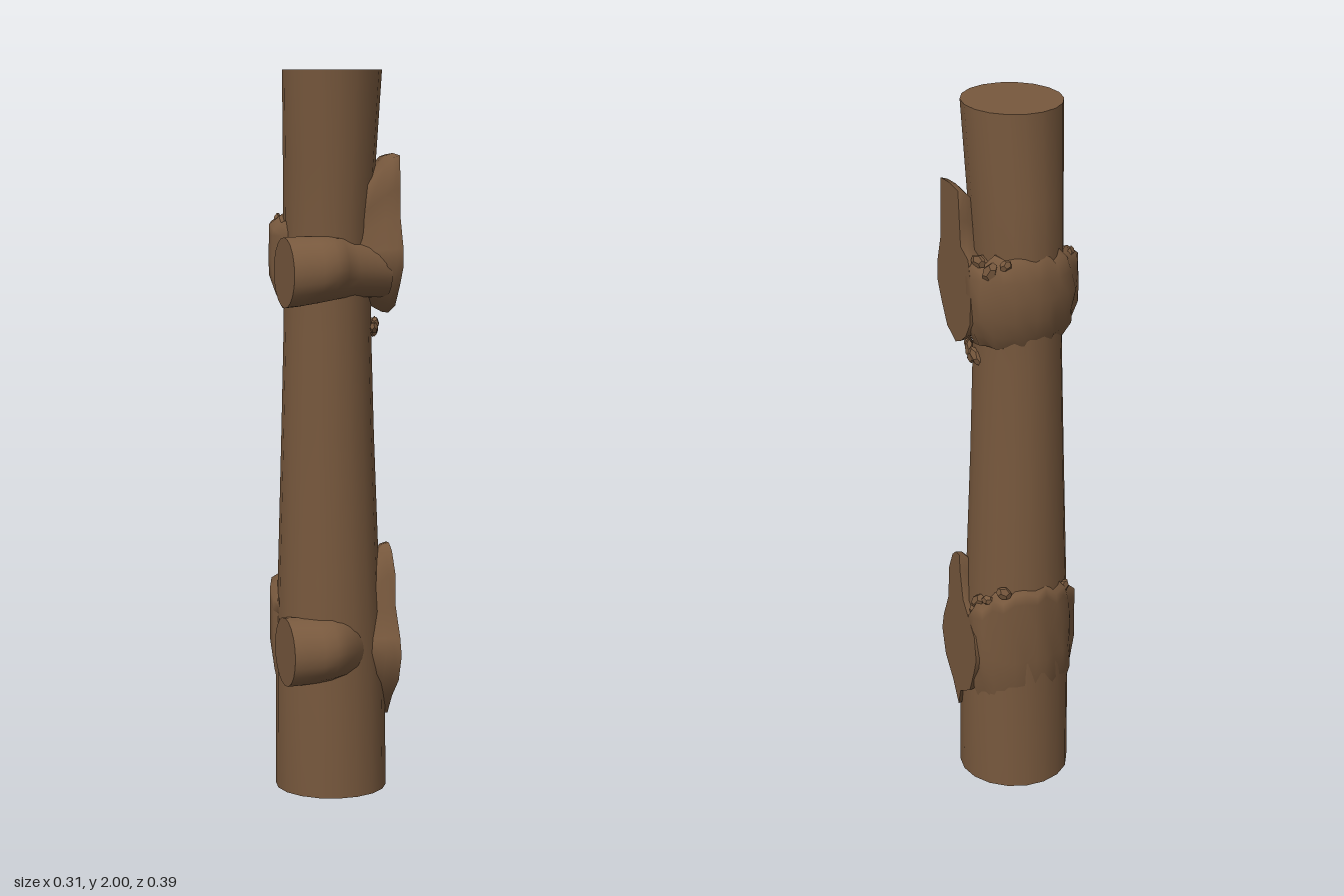
import * as THREE from 'three';

const LIMIT = 0.156; // branches are sawn off flat at this x
const clampX = (x) => Math.max(-LIMIT, Math.min(LIMIT, x));

// Skin a stack of equal-length rings; smooth sides, flat fan caps.
function loft(rings, centres) {
  const n = rings[0].length, pos = [], idx = [];
  rings.forEach((r) => r.forEach((p) => pos.push(...p)));
  for (let j = 0; j < rings.length - 1; j++) {
    for (let i = 0; i < n; i++) {
      const a = j * n + i, b = j * n + (i + 1) % n;
      idx.push(a, b, b + n, a, b + n, a + n);
    }
  }
  [0, rings.length - 1].forEach((k, end) => {
    const ring = rings[k], base = pos.length / 3;
    const mid = centres ? centres[end] : [0, 1, 2].map((c) => ring.reduce((s, p) => s + p[c], 0) / n);
    pos.push(...mid);
    ring.forEach((p) => pos.push(...p));
    for (let i = 0; i < n; i++) {
      const a = base + 1 + i, b = base + 1 + (i + 1) % n;
      if (end) idx.push(base, a, b); else idx.push(base, b, a);
    }
  });
  // turn the faces outward if the enclosed volume is negative
  const v = (i) => new THREE.Vector3().fromArray(pos, i * 3);
  let volume = 0;
  for (let i = 0; i < idx.length; i += 3) volume += v(idx[i]).dot(v(idx[i + 1]).cross(v(idx[i + 2])));
  if (volume < 0) idx.reverse();
  const g = new THREE.BufferGeometry();
  g.setAttribute('position', new THREE.Float32BufferAttribute(pos, 3));
  g.setIndex(idx);
  g.computeVertexNormals();
  return g;
}

const circle = (n, f) => Array.from({ length: n }, (_, i) => f(i / n * Math.PI * 2, i));

export function createModel() {
  const group = new THREE.Group();
  const bark = new THREE.MeshStandardMaterial({ color: 0x77583d });
  bark.name = 'brown bark';
  const add = (name, geometry) => {
    const m = new THREE.Mesh(geometry, bark);
    m.name = name;
    group.add(m);
    return m;
  };

  // Trunk: y, left x, right x, back z, front z
  const sections = [
    [0, -0.156, 0.154, -0.175, 0.145], [0.35, -0.155, 0.15, -0.175, 0.14],
    [0.6, -0.146, 0.136, -0.174, 0.126], [1, -0.135, 0.12, -0.164, 0.116],
    [1.3, -0.128, 0.111, -0.156, 0.11], [1.45, -0.126, 0.111, -0.162, 0.11],
    [1.6, -0.127, 0.115, -0.167, 0.115], [1.75, -0.13, 0.121, -0.16, 0.125],
    [2, -0.137, 0.133, -0.146, 0.144],
  ];
  add('trunk', loft(sections.map(([y, l, r, b, f]) => circle(18, (a) => [
    (l + r) / 2 + Math.cos(a) * (r - l) / 2, y, (b + f) / 2 + Math.sin(a) * (f - b) / 2,
  ]))));

  // Front branches sweep across the trunk and end in a flat cut on the right.
  // x, z centre, z radius, y radius, y offset
  const sweep = [
    [-LIMIT, 0.055, 0.098, 0.096, 0], [-0.12, 0.065, 0.1, 0.095, 0.003],
    [-0.08, 0.088, 0.1, 0.091, 0.008], [-0.045, 0.098, 0.098, 0.088, 0.012],
    [-0.01, 0.087, 0.094, 0.084, 0.013], [0.03, 0.065, 0.083, 0.078, 0.008],
  ];
  const branch = (name, y, tail) => add(name, loft([...sweep, tail].map(([x, z, rz, ry, dy]) =>
    circle(20, (a) => [x, y + dy + Math.sin(a) * ry, z + Math.cos(a) * rz]))));
  branch('upperFrontBranch', 1.455, [0.13, 0.05, 0.08, 0.075, 0]);
  branch('lowerFrontBranch', 0.405, [0.08, 0.03, 0.06, 0.06, 0]);

  // Left side cuts: [z, y] outline flaring out of the trunk
  const cut = (name, [cz, cy], outline) => {
    const steps = [[0, 0.55], [0.07, 0.72], [0.115, 0.9], [0.137, 0.98], [LIMIT, 1]];
    const rings = steps.map(([x, s]) => outline.map(([z, y]) => [x, cy + (y - cy) * s, cz + (z - cz) * s]));
    add(name, loft(rings, [[0, cy, cz], [LIMIT, cy, cz]]));
  };
  cut('upperSideCut', [0.03, 1.48], [
    [0.11, 1.77], [0.05, 1.775], [-0.01, 1.77], [-0.018, 1.69], [-0.025, 1.62], [-0.075, 1.6],
    [-0.095, 1.53], [-0.085, 1.42], [-0.055, 1.375], [-0.02, 1.35], [0.015, 1.335], [0.075, 1.36],
    [0.115, 1.42], [0.142, 1.47], [0.142, 1.52], [0.117, 1.6], [0.115, 1.68],
  ]);
  cut('lowerSideCut', [0.02, 0.42], [
    [0.005, 0.69], [0.03, 0.69], [0.055, 0.67], [0.085, 0.61], [0.088, 0.52], [0.127, 0.44],
    [0.14, 0.39], [0.115, 0.315], [0.06, 0.26], [0.02, 0.2], [0.005, 0.25], [-0.065, 0.29],
    [-0.095, 0.36], [-0.113, 0.41], [-0.1, 0.48], [-0.06, 0.52], [-0.02, 0.56], [0, 0.64],
  ]);

  // Swollen bark collars around the back; the front of each ring stays inside the trunk
  const collar = (name, y, profile, rim) => add(name, loft(profile.map(([dy, r], j) => circle(36, (a, i) => {
    const back = Math.max(0, Math.min(1, 0.2 - Math.sin(a) * 2));
    const rough = 0.004 * Math.sin(i * 2.3 + j * 1.7) + 0.003 * Math.sin(i * 4.1 + j);
    const radius = 0.09 + (r + rough - 0.09) * back;
    const jag = dy > 0.1 ? rim * (-Math.sin(a) - 0.8) + 0.012 * Math.sin(i * 2.7) : 0;
    return [clampX(Math.cos(a) * radius), y + dy + jag, Math.sin(a) * radius];
  }))));
  collar('upperBackCollar', 1.48, [
    [-0.13, 0.14], [-0.09, 0.165], [-0.04, 0.177], [0.02, 0.188], [0.07, 0.181], [0.11, 0.178], [0.13, 0.15],
  ], 0.04);
  collar('lowerBackCollar', 0.45, [
    [-0.2, 0.15], [-0.12, 0.172], [-0.04, 0.179], [0.05, 0.181], [0.12, 0.184], [0.15, 0.182], [0.17, 0.15],
  ], 0.14);

  // Small torn flakes of bark around the knots: angle, y, radius
  const flakes = [
    [-25, 1.57, 0.15], [-35, 1.6, 0.165], [-48, 1.58, 0.175], [-62, 1.6, 0.175], [-30, 1.52, 0.16],
    [15, 1.3, 0.115], [28, 1.31, 0.118], [3, 1.29, 0.115], [-10, 1.3, 0.117], [38, 1.3, 0.12],
    [-25, 0.54, 0.152], [-35, 0.5, 0.165], [-44, 0.6, 0.17], [-60, 0.63, 0.174], [-30, 0.58, 0.155],
    [-145, 0.55, 0.165], [-125, 0.61, 0.174], [-140, 1.58, 0.165], [-160, 0.52, 0.148],
  ];
  flakes.forEach(([deg, y, r], i) => {
    const a = deg * Math.PI / 180;
    const g = new THREE.DodecahedronGeometry(0.019);
    g.scale(1, 0.8 + 0.4 * (i % 3), 0.6);
    g.rotateZ(i * 1.3);
    g.rotateY(Math.PI / 2 - a);
    g.translate(Math.cos(a) * r, y, Math.sin(a) * r);
    const p = g.attributes.position;
    for (let k = 0; k < p.count; k++) p.setX(k, clampX(p.getX(k)));
    g.computeVertexNormals();
    add('barkFlake', g);
  });

  return group;
}
